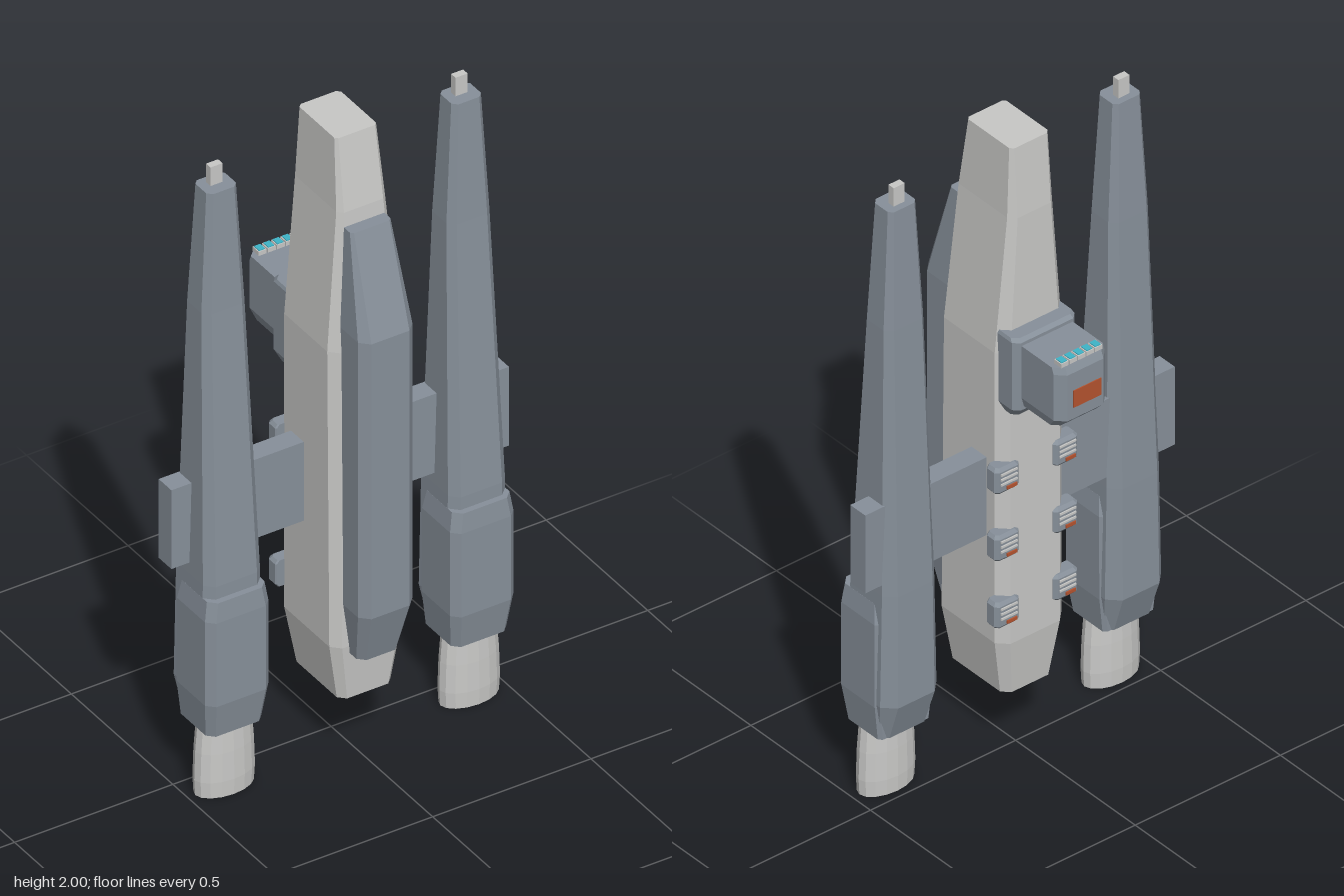
import * as THREE from 'three';

const mat = (name, color) => {
  const m = new THREE.MeshStandardMaterial({ color });
  m.name = name;
  return m;
};

// Closed loft of chamfered rectangles, bottom to top.
// Section: [y, halfWidth, zBack, zFront, backChamfer, frontChamfer]
function loft(sections) {
  const rings = sections.map(([y, w, b, f, cb, cf]) => [
    [w, y, b + cb], [w, y, f - cf], [w - cf, y, f], [cf - w, y, f],
    [-w, y, f - cf], [-w, y, b + cb], [cb - w, y, b], [w - cb, y, b],
  ]);
  const pos = [];
  const tri = (...pts) => pts.forEach((p) => pos.push(...p));
  const n = 8;
  for (let s = 0; s < rings.length - 1; s++) {
    const lo = rings[s], hi = rings[s + 1];
    for (let i = 0; i < n; i++) {
      const j = (i + 1) % n;
      tri(lo[i], hi[i], hi[j]);
      tri(lo[i], hi[j], lo[j]);
    }
  }
  const bottom = rings[0], top = rings[rings.length - 1];
  for (let i = 1; i < n - 1; i++) {
    tri(bottom[0], bottom[i], bottom[i + 1]);
    tri(top[0], top[i + 1], top[i]);
  }
  const g = new THREE.BufferGeometry();
  g.setAttribute('position', new THREE.Float32BufferAttribute(pos, 3));
  g.computeVertexNormals();
  return g;
}

export function createModel() {
  const model = new THREE.Group();
  const slate = mat('slate armour', 0x87909a);
  const pale = mat('pale hull', 0xc8c8c6);
  const cyan = mat('cyan glass', 0x3fb4c8);
  const rust = mat('rust marking', 0xb4532f);

  const add = (parent, name, geo, material, x = 0, y = 0, z = 0) => {
    const m = new THREE.Mesh(geo, material);
    m.name = name;
    m.position.set(x, y, z);
    parent.add(m);
    return m;
  };
  const box = (parent, name, material, w, h, d, x, y, z) =>
    add(parent, name, new THREE.BoxGeometry(w, h, d), material, x, y, z);

  // Central hull
  add(model, 'hull', loft([
    [0.22, 0.085, -0.06, 0.18, 0.022, 0.02],
    [0.4, 0.115, -0.082, 0.195, 0.03, 0.025],
    [1.35, 0.115, -0.082, 0.185, 0.03, 0.025],
    [1.78, 0.077, -0.078, 0.16, 0.02, 0.015],
    [2.0, 0.066, -0.063, 0.126, 0.01, 0.008],
  ]), pale);

  // Raised armour on the hull front
  add(model, 'frontArmour', loft([
    [0.375, 0.065, 0.13, 0.245, 0.01, 0.02],
    [0.54, 0.086, 0.13, 0.292, 0.01, 0.026],
    [1.43, 0.086, 0.13, 0.292, 0.01, 0.026],
    [1.735, 0.064, 0.13, 0.2, 0.01, 0.008],
  ]), slate);

  // Cross wing running through both nacelles
  box(model, 'wing', slate, 1.066, 0.255, 0.063, 0, 0.863, 0.013);

  // Engine nacelles
  for (const side of [-1, 1]) {
    const nacelle = new THREE.Group();
    nacelle.name = side > 0 ? 'leftNacelle' : 'rightNacelle';
    nacelle.position.x = side * 0.387;
    model.add(nacelle);
    add(nacelle, 'nacelleBody', loft([
      [0.22, 0.08, -0.015, 0.12, 0.02, 0.02],
      [0.34, 0.097, -0.055, 0.135, 0.034, 0.025],
      [0.7, 0.09, -0.05, 0.137, 0.03, 0.025],
      [1.55, 0.068, -0.02, 0.09, 0.02, 0.02],
      [1.925, 0.047, -0.004, 0.075, 0.012, 0.014],
    ]), slate);
    add(nacelle, 'engineCasing', loft([
      [0.22, 0.088, -0.01, 0.142, 0.01, 0.02],
      [0.33, 0.1, -0.012, 0.16, 0.01, 0.022],
      [0.6, 0.1, -0.01, 0.16, 0.01, 0.022],
      [0.66, 0.091, 0.0, 0.155, 0.01, 0.022],
    ]), slate);
    box(nacelle, 'noseProbe', pale, 0.038, 0.07, 0.022, 0, 1.95, 0.028);

    // Hollow oval exhaust
    const profile = [[0, 0.12], [0.072, 0.12], [0.077, 0], [0.09, 0], [0.093, 0.05],
      [0.09, 0.14], [0.083, 0.23]].map(([r, y]) => new THREE.Vector2(r, y));
    const nozzle = new THREE.LatheGeometry(profile, 16).toNonIndexed();
    nozzle.scale(1, 1, 0.57);
    nozzle.computeVertexNormals();
    add(nacelle, 'exhaustNozzle', nozzle, pale, 0, 0, 0.074);
  }

  // Rear cabin and its collar
  add(model, 'cabinCollar', loft([
    [1.165, 0.095, -0.11, -0.05, 0.015, 0.005],
    [1.195, 0.108, -0.132, -0.05, 0.017, 0.005],
    [1.415, 0.108, -0.132, -0.05, 0.017, 0.005],
    [1.425, 0.104, -0.122, -0.05, 0.017, 0.005],
  ]), slate);
  add(model, 'cabin', loft([
    [1.205, 0.08, -0.262, -0.1, 0.02, 0.005],
    [1.235, 0.088, -0.292, -0.1, 0.026, 0.005],
    [1.385, 0.088, -0.292, -0.1, 0.026, 0.005],
    [1.405, 0.088, -0.284, -0.1, 0.026, 0.005],
  ]), slate);
  for (let i = -2; i <= 2; i++) {
    box(model, 'windowFrame', pale, 0.025, 0.014, 0.03, i * 0.029, 1.411, -0.262);
    box(model, 'window', cyan, 0.019, 0.004, 0.024, i * 0.029, 1.419, -0.262);
  }
  box(model, 'cabinMarking', rust, 0.095, 0.055, 0.004, -0.005, 1.3, -0.293);

  // Louvred vents down the hull's rear edges
  for (const side of [-1, 1]) {
    for (const y of [0.515, 0.735, 0.955]) {
      const vent = new THREE.Group();
      vent.name = 'vent';
      vent.position.set(side * 0.101, y, 0);
      model.add(vent);
      add(vent, 'ventHousing', loft([
        [-0.042, 0.034, -0.086, -0.05, 0.008, 0.004],
        [-0.032, 0.042, -0.094, -0.05, 0.01, 0.004],
        [0.032, 0.042, -0.094, -0.05, 0.01, 0.004],
        [0.042, 0.034, -0.086, -0.05, 0.008, 0.004],
      ]), slate);
      for (let k = 0; k < 3; k++) {
        box(vent, 'ventSlat', pale, 0.056, 0.006, 0.006, 0, 0.024 - k * 0.016, -0.095);
      }
      box(vent, 'ventMarking', rust, 0.034, 0.01, 0.006, -0.01, -0.025, -0.095);
    }
  }
  return model;
}
